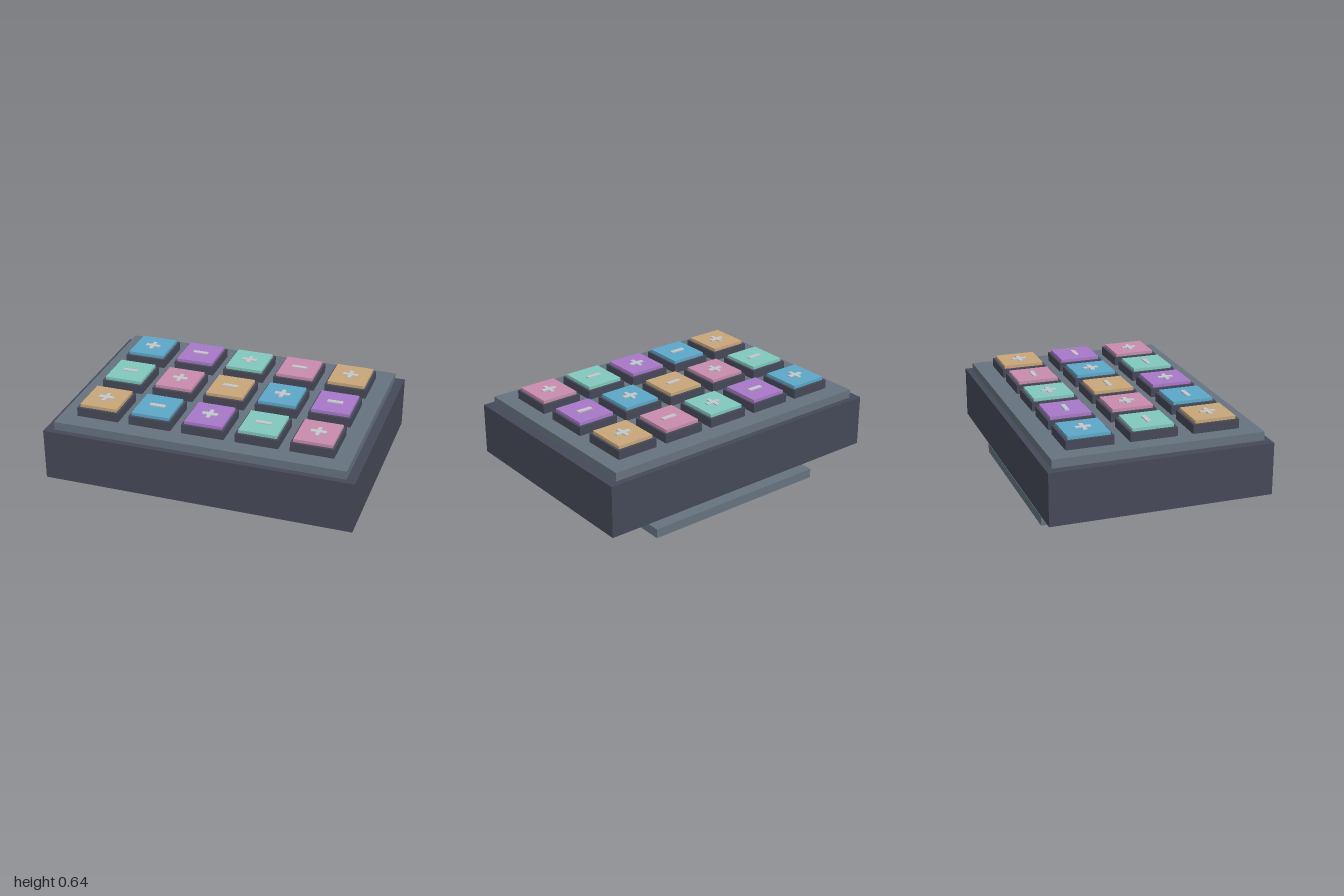
import * as THREE from 'three';

const mat = (name, color, flatShading = false) => {
  const m = new THREE.MeshStandardMaterial({ color, flatShading });
  m.name = name;
  return m;
};

// Box given by its centre in x and z, its underside and its size
function box(name, material, [w, h, d], x, bottom, z) {
  const mesh = new THREE.Mesh(new THREE.BoxGeometry(w, h, d), material);
  mesh.position.set(x, bottom + h / 2, z);
  mesh.name = name;
  return mesh;
}

// Eight-sided rod between two points
function rod(name, material, a, b, radius) {
  const dir = b.clone().sub(a);
  const mesh = new THREE.Mesh(new THREE.CylinderGeometry(radius, radius, dir.length(), 8), material);
  mesh.position.copy(a).add(b).multiplyScalar(0.5);
  mesh.quaternion.setFromUnitVectors(new THREE.Vector3(0, 1, 0), dir.normalize());
  mesh.name = name;
  return mesh;
}

export function createModel() {
  const model = new THREE.Group();
  model.name = 'keypad';

  const dark = mat('dark casing', 0x454857);
  const slate = mat('slate plate', 0x65727e);
  const metal = mat('metal', 0x9aa0aa, true);
  const silver = mat('silver mark', 0xc4c8ca);
  const capColors = [
    mat('blue', 0x5ca8c8),
    mat('purple', 0xa878c8),
    mat('teal', 0x80c8bc),
    mat('pink', 0xc88cac),
    mat('tan', 0xc8a678),
  ];

  // Casing, face plate and foot plate
  model.add(box('casing', dark, [2, 0.335, 1.416], 0, 0.162, 0));
  model.add(box('facePlate', slate, [1.88, 0.055, 1.34], 0, 0.497, 0));
  model.add(box('footPlate', slate, [1.27, 0.06, 1.12], 0, 0, -0.09));

  // Slanted struts rising forwards into the casing
  for (const side of [1, -1]) {
    model.add(rod(side > 0 ? 'leftStrut' : 'rightStrut', metal,
      new THREE.Vector3(side * 0.478, 0.06, -0.368),
      new THREE.Vector3(side * 0.432, 0.245, 0.23), 0.04));
  }

  // Keys: three rows of five, with plus and minus marks alternating
  for (let row = 0; row < 3; row++) {
    for (let col = 0; col < 5; col++) {
      const key = new THREE.Group();
      key.name = 'key';
      key.position.set((col - 2) * 0.3475, 0.552, (row - 1) * 0.4);
      key.add(box('keyBase', dark, [0.275, 0.058, 0.3], 0, 0, 0));
      key.add(box('keyCap', capColors[(col + row * 2) % 5], [0.245, 0.02, 0.264], 0, 0.058, 0));
      key.add(box('markBar', silver, [0.1, 0.007, 0.028], 0, 0.078, 0));
      if ((row + col) % 2 === 0) {
        for (const s of [1, -1]) {
          key.add(box('markStem', silver, [0.024, 0.007, 0.036], 0, 0.078, s * 0.032));
        }
      }
      model.add(key);
    }
  }
  return model;
}
